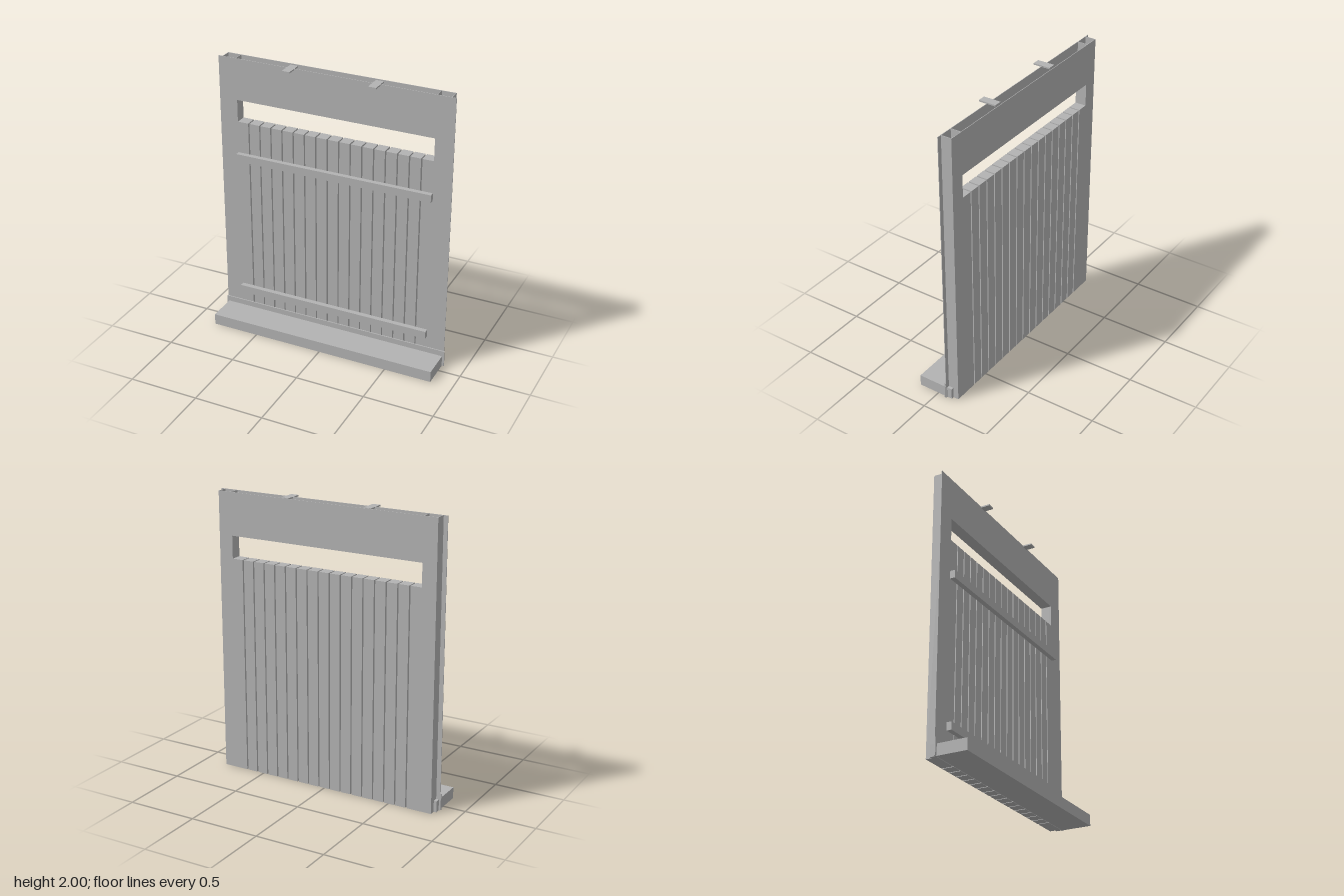
import * as THREE from 'three';

export function createModel() {
  const model = new THREE.Group();
  model.name = 'slattedDoorPanel';
  const grey = new THREE.MeshStandardMaterial({ color: 0xb2b2b2 });
  grey.name = 'plain grey';

  // Box given by its limits on each axis
  function block(name, x0, x1, y0, y1, z0, z1, parent = model) {
    const mesh = new THREE.Mesh(new THREE.BoxGeometry(x1 - x0, y1 - y0, z1 - z0), grey);
    mesh.position.set((x0 + x1) / 2, (y0 + y1) / 2, (z0 + z1) / 2);
    mesh.name = name;
    parent.add(mesh);
    return mesh;
  }

  const back = -0.15, front = -0.07, t = 0.004;
  const inner = 0.718, outer = 0.82, flange = 0.85;

  // Hollow stiles, open at the top, with a flange along the front outer edge
  for (const side of [1, -1]) {
    const stile = new THREE.Group();
    stile.name = side > 0 ? 'leftStile' : 'rightStile';
    const wall = (name, a, b, y0, y1, z0, z1) =>
      block(name, Math.min(a * side, b * side), Math.max(a * side, b * side), y0, y1, z0, z1, stile);
    wall('stileFront', inner, flange, 0, 2, front - t, front);
    wall('stileBack', inner, outer, 0, 2, back, back + t);
    wall('stileOuterWall', outer - t, outer, 0, 2, back + t, front - t);
    wall('stileInnerWall', inner, inner + t, 0, 2, back + t, front - t);
    wall('stileFoot', inner + t, outer - t, 0, t, back + t, front - t);
    // End cheek of the ledge, wrapping round the stile
    wall('ledgeCheek', outer, 0.84, 0, 0.08, -0.11, -0.06);
    model.add(stile);
  }

  // Hollow header above the opening
  block('headerFront', -inner, inner, 1.7, 2, front - t, front);
  block('headerBack', -inner, inner, 1.7, 2, back, back + t);
  block('headerUnderside', -inner, inner, 1.7, 1.7 + t, back + t, front - t);

  // Upright slats with narrow gaps
  const count = 17, pitch = (2 * inner) / count, gap = 0.01;
  for (let i = 0; i < count; i++) {
    const x = -inner + i * pitch;
    block('slat', x + (i ? gap / 2 : 0), x + pitch - (i < count - 1 ? gap / 2 : 0), 0, 1.54, back, front);
  }

  // Cross rails over the slats
  block('upperRail', -0.72, 0.72, 1.255, 1.31, front, -0.035);
  block('lowerRail', -0.72, 0.72, 0.205, 0.26, front, -0.035);

  // Ledge at the foot and its upright back plate
  block('ledge', -0.84, 0.84, 0, 0.08, -0.062, 0.15);
  block('ledgeBackPlate', -0.855, 0.855, 0.003, 0.12, front, -0.062);

  // Flat clips across the top edge
  for (const x of [-0.31, 0.305]) block('topClip', x - 0.028, x + 0.028, 1.99, 2.0, -0.128, -0.004);

  return model;
}
